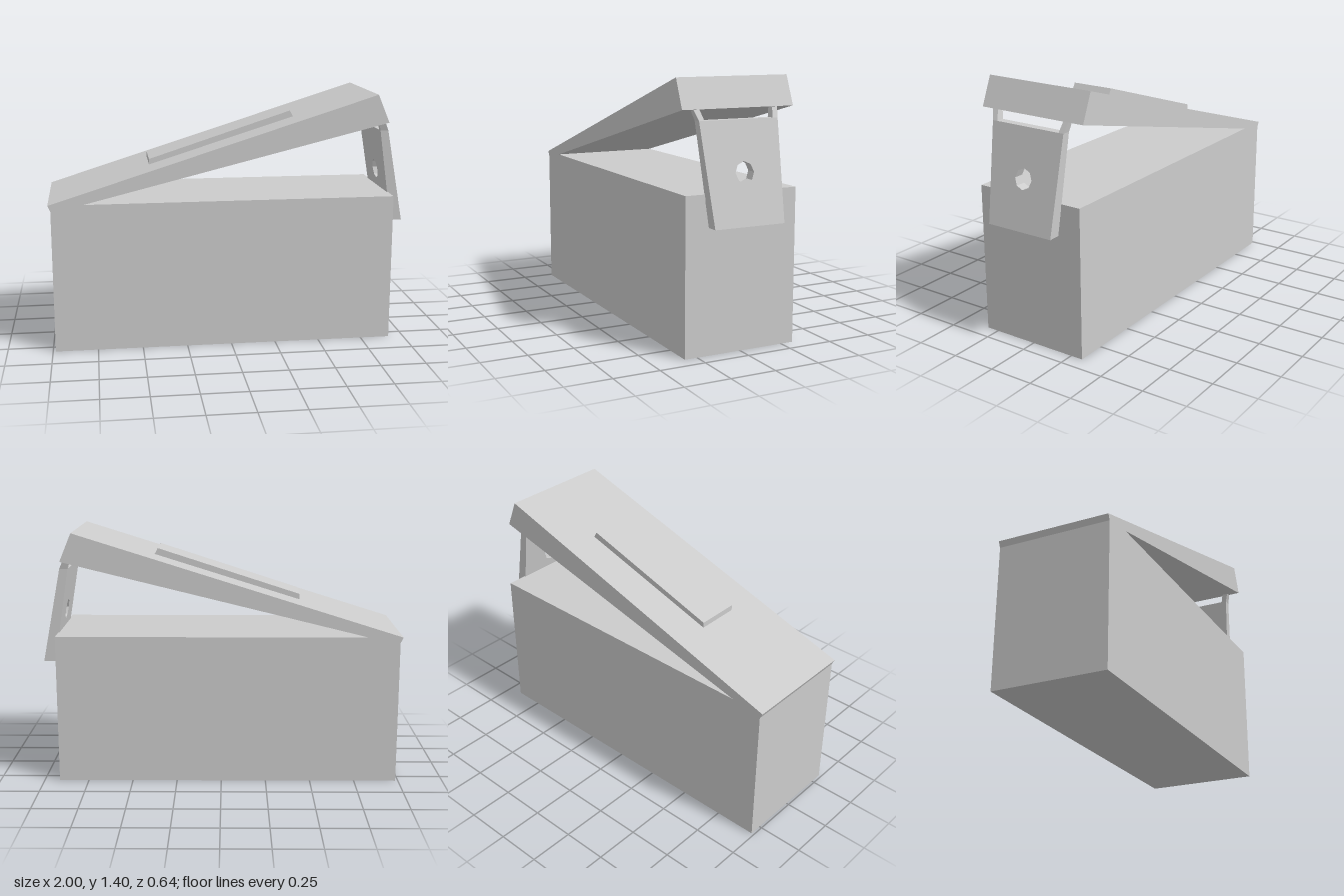
import * as THREE from 'three';

const material = new THREE.MeshStandardMaterial({ color: 0xcccccc, flatShading: true });

function addMesh(parent, name, geometry) {
  const mesh = new THREE.Mesh(geometry, material);
  mesh.name = name;
  parent.add(mesh);
  return mesh;
}

const shapeOf = (points) => new THREE.Shape(points.map(([x, y]) => new THREE.Vector2(x, y)));

// Side profile in x/y, extruded symmetrically across z
function slab(points, width) {
  return new THREE.ExtrudeGeometry(shapeOf(points), { depth: width, bevelEnabled: false })
    .translate(0, 0, -width / 2);
}

// Latch side profile: [y, inner x, outer x]
const latchProfile = [[0.665, 0.935, 1.0], [1.19, 0.85, 0.895], [1.245, 0.835, 0.87]];

// Outline in z/y, given thickness and slope by the latch profile
function latchPiece(points, hole) {
  const shape = shapeOf(points.map(([z, y]) => [-z, y]));
  if (hole) shape.holes.push(hole);
  const geometry = new THREE.ExtrudeGeometry(shape, { depth: 1, bevelEnabled: false }).rotateY(Math.PI / 2);
  const pos = geometry.attributes.position;
  for (let i = 0; i < pos.count; i++) {
    const y = pos.getY(i);
    const k = y > 1.1901 ? 1 : 0;
    const [a, b] = [latchProfile[k], latchProfile[k + 1]];
    const t = (y - a[0]) / (b[0] - a[0]);
    const side = pos.getX(i) > 0.5 ? 2 : 1;
    pos.setX(i, THREE.MathUtils.lerp(a[side], b[side], t));
  }
  geometry.computeVertexNormals();
  return geometry;
}

export function createModel() {
  const model = new THREE.Group();
  model.name = 'hingedBox';

  // Closed block body
  addMesh(model, 'body', new THREE.BoxGeometry(1.9, 0.83, 0.64)).position.set(-0.035, 0.415, 0);

  // Raised tapering lid, its low end sunk slightly into the body
  addMesh(model, 'lid', slab([[-1, 0.83], [-0.98, 0.788], [0.875, 1.245], [0.81, 1.4]], 0.64));

  // Raised panel on the lid
  addMesh(model, 'lidPanel', slab([[-0.44, 1.0], [0.375, 1.26], [0.355, 1.295], [-0.44, 1.037]], 0.24));

  // Latch: plate with an eight-sided hole, hung on two flared arms
  const latch = new THREE.Group();
  latch.name = 'latch';
  model.add(latch);
  const hole = new THREE.Path();
  for (let i = 0; i < 8; i++) {
    const a = -i * Math.PI / 4;
    const x = -0.005 + 0.053 * Math.cos(a), y = 0.93 + 0.055 * Math.sin(a);
    if (i === 0) hole.moveTo(x, y); else hole.lineTo(x, y);
  }
  hole.closePath();
  addMesh(latch, 'latchPlate', latchPiece([[0.2, 0.665], [-0.2, 0.665], [-0.215, 1.19], [0.237, 1.19]], hole));
  addMesh(latch, 'leftArm', latchPiece([[0.237, 1.19], [0.207, 1.19], [0.222, 1.245], [0.255, 1.245]]));
  addMesh(latch, 'rightArm', latchPiece([[-0.185, 1.19], [-0.215, 1.19], [-0.227, 1.245], [-0.197, 1.245]]));

  return model;
}
